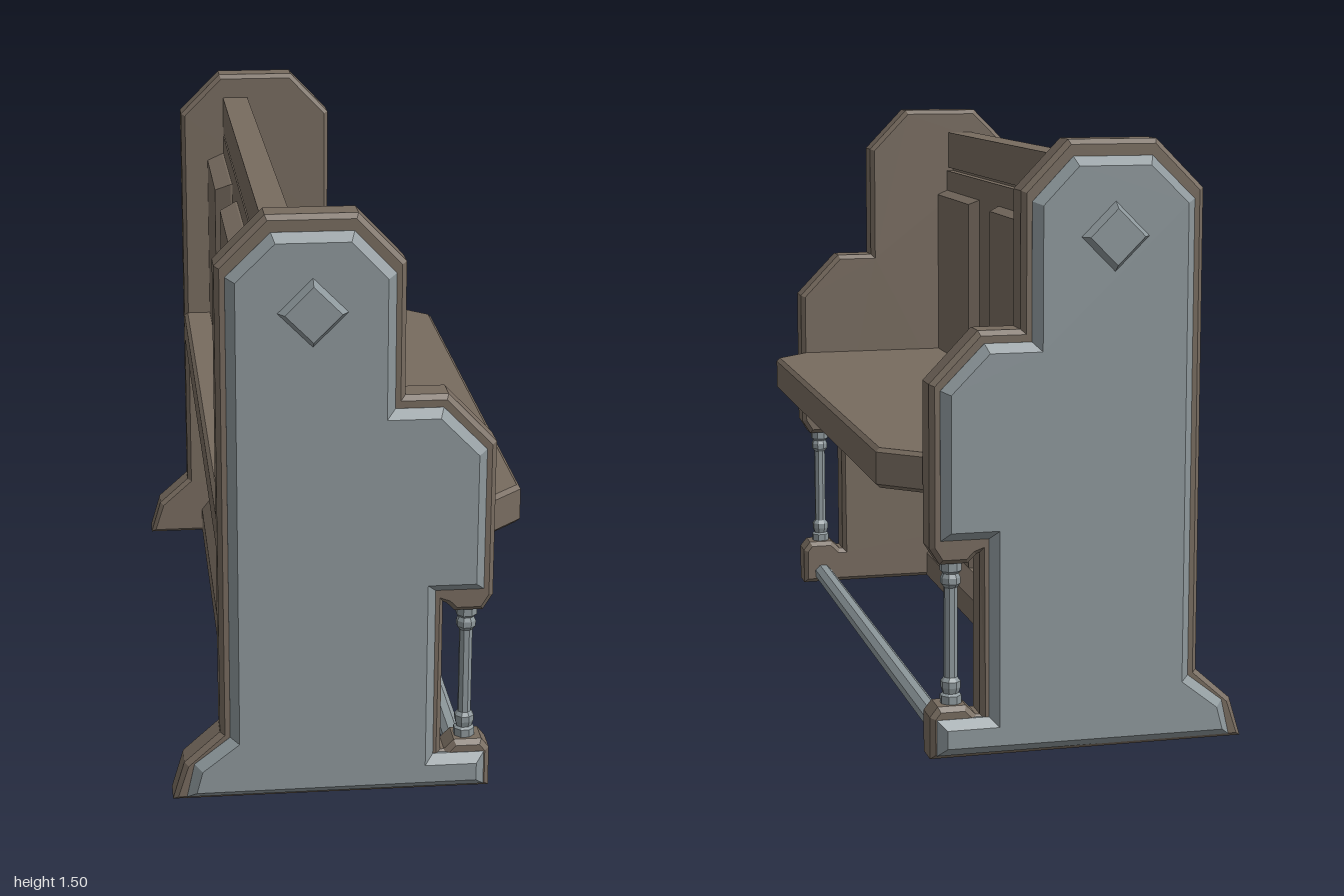
import * as THREE from 'three';

const wood = new THREE.MeshStandardMaterial({ color: 0x776b5f, flatShading: true });
const slate = new THREE.MeshStandardMaterial({ color: 0x8d979b, flatShading: true });

// Outline extruded along z from 0 to depth, with chamfered rims inside the outline
function plate(points, depth, bevel, bevelDepth = bevel, backBevel = true) {
  const shape = new THREE.Shape(points.map(([x, y]) => new THREE.Vector2(x, y)));
  const geo = new THREE.ExtrudeGeometry(shape, {
    depth: depth - 2 * bevelDepth, bevelEnabled: true, bevelSegments: 1,
    bevelSize: bevel, bevelThickness: bevelDepth, bevelOffset: -bevel,
  });
  return geo.translate(0, 0, bevelDepth);
}

function add(parent, name, geo, mat, x = 0, y = 0, z = 0) {
  const mesh = new THREE.Mesh(geo, mat);
  mesh.name = name;
  mesh.position.set(x, y, z);
  parent.add(mesh);
  return mesh;
}

const rect = (x0, x1, y0, y1) => [[x0, y0], [x1, y0], [x1, y1], [x0, y1]];

const endOutline = [
  [-0.45, 0], [0.35, 0], [0.35, 0.105], [0.33, 0.13], [0.26, 0.13], [0.235, 0.105],
  [0.225, 0.105], [0.225, 0.51], [0.235, 0.505], [0.255, 0.485], [0.325, 0.485], [0.35, 0.525],
  [0.35, 0.925], [0.23, 1.05], [0.125, 1.05], [0.125, 1.38], [0.01, 1.5],
  [-0.21, 1.5], [-0.33, 1.38], [-0.33, 0.18], [-0.42, 0.1],
];

const facingOutline = [
  [-0.415, 0.01], [0.335, 0.01], [0.335, 0.1], [0.205, 0.1], [0.205, 0.545], [0.325, 0.545],
  [0.325, 0.91], [0.217, 1.02], [0.1, 1.02], [0.1, 1.355], [0, 1.46],
  [-0.197, 1.46], [-0.305, 1.355], [-0.305, 0.17], [-0.395, 0.1],
];

// Turned post profile: radius, height
const postProfile = [
  [0, 0.12], [0.027, 0.12], [0.027, 0.15], [0.02, 0.155], [0.025, 0.17], [0.025, 0.185], [0.017, 0.195],
  [0.017, 0.42], [0.025, 0.43], [0.025, 0.445], [0.02, 0.455], [0.027, 0.462], [0.027, 0.49], [0, 0.49],
].map(([r, y]) => new THREE.Vector2(r, y));

// One bench end, built for z > 0
function buildEnd(name) {
  const end = new THREE.Group();
  end.name = name;
  add(end, 'endSlab', plate(endOutline, 0.092, 0.012), wood, 0, 0, 0.863);
  add(end, 'endFacing', plate(facingOutline, 0.055, 0.022), slate, 0, 0, 0.923);
  const diamond = new THREE.CylinderGeometry(0.068, 0.09, 0.03, 4).rotateX(Math.PI / 2);
  add(end, 'diamondBoss', diamond, slate, -0.1, 1.27, 0.985);
  const post = new THREE.LatheGeometry(postProfile, 8, Math.PI / 8);
  add(end, 'turnedPost', post, slate, 0.29, 0, 0.91);
  return end;
}

export function createModel() {
  const bench = new THREE.Group();
  bench.name = 'bench';

  // Matching ends, the second turned round by mirroring
  bench.add(buildEnd('frontEnd'));
  const far = buildEnd('backEnd');
  far.scale.z = -1;
  bench.add(far);

  // Seat board with clipped front corners
  const seatOutline = [
    [-0.33, -0.87], [0.345, -0.87], [0.445, -0.775], [0.445, 0.775], [0.345, 0.87], [-0.33, 0.87],
  ];
  add(bench, 'seat', plate(seatOutline, 0.1, 0.01).rotateX(Math.PI / 2), wood, 0, 0.745, 0);

  // Backrest board, groove and top rail
  add(bench, 'backBoard', new THREE.BoxGeometry(0.08, 1.24, 1.74), wood, -0.16, 0.69, 0);
  add(bench, 'railGroove', new THREE.BoxGeometry(0.05, 0.03, 1.74), wood, -0.165, 1.315, 0);
  const rail = plate(rect(-0.2, -0.125, 1.32, 1.43), 1.74, 0.006);
  add(bench, 'topRail', rail, wood, 0, 0, -0.87);

  // Raised panels showing on both faces of the backrest
  for (const [z0, z1] of [[-0.88, -0.435], [-0.22, 0.22], [0.435, 0.88]]) {
    const panel = plate(rect(-z1, -z0, 0.1, 1.255), 0.16, 0.02, 0.045).rotateY(Math.PI / 2);
    add(bench, 'raisedPanel', panel, wood, -0.25, 0, 0);
  }

  // Bottom rail with sloping shoulders
  const sill = [[-0.285, 0.003], [-0.05, 0.003], [-0.05, 0.075], [-0.09, 0.12], [-0.25, 0.12], [-0.285, 0.075]];
  add(bench, 'bottomRail', plate(sill, 1.74, 0.003), wood, 0, 0, -0.87);

  // Foot bar between the ends
  const bar = new THREE.CylinderGeometry(0.027, 0.027, 1.74, 8).rotateY(Math.PI / 8).rotateX(Math.PI / 2);
  add(bench, 'footBar', bar, slate, 0.29, 0.03, 0);

  return bench;
}
